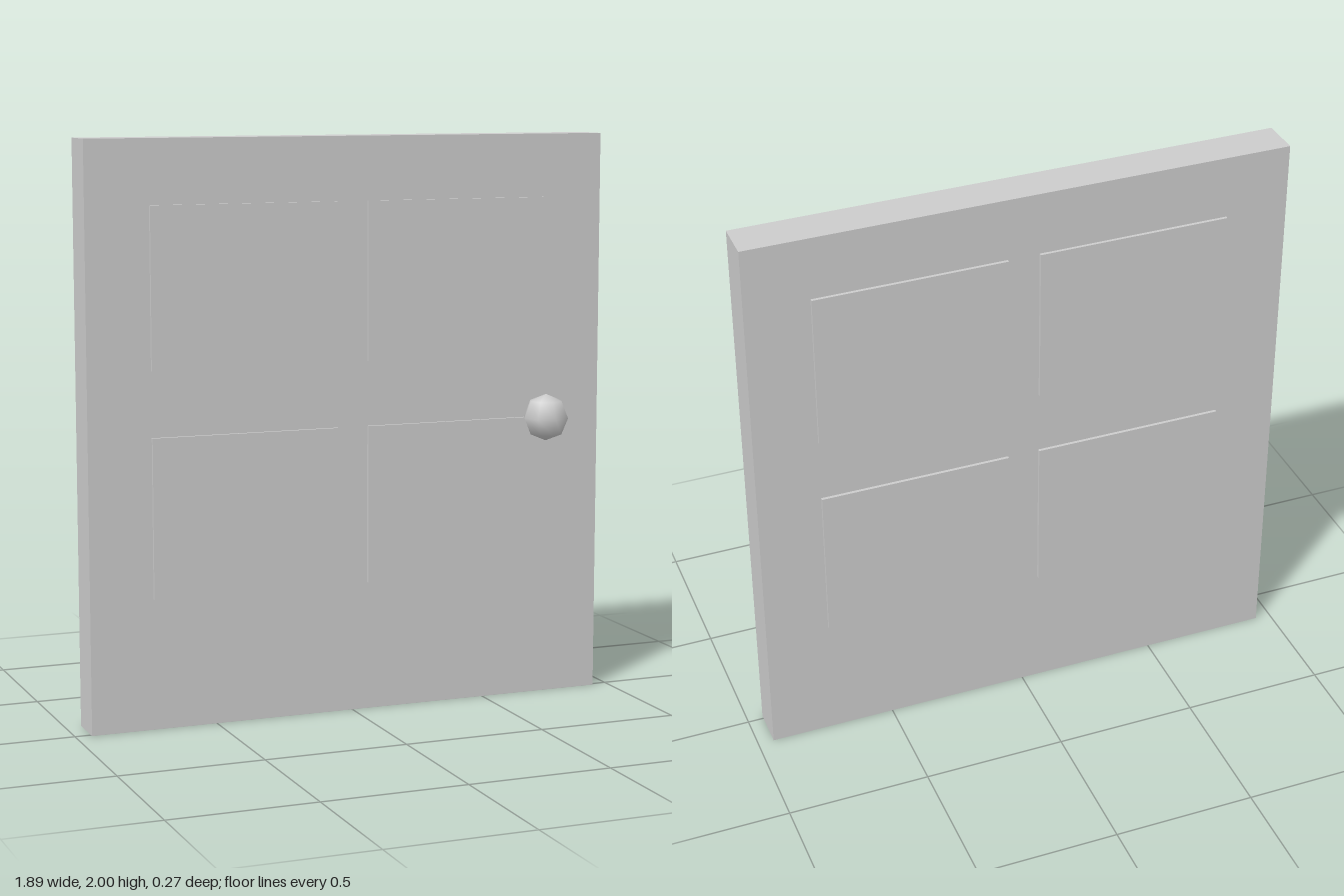
import * as THREE from 'three';

export function createModel() {
  const group = new THREE.Group();
  const grey = new THREE.MeshStandardMaterial({ color: 0xcccccc });
  grey.name = 'light grey';

  const add = (name, geometry, x, y, z) => {
    const mesh = new THREE.Mesh(geometry, grey);
    mesh.name = name;
    mesh.position.set(x, y, z);
    group.add(mesh);
  };

  // Door slab, set back so the knob and panels balance about z = 0
  const doorZ = -0.056;
  add('doorSlab', new THREE.BoxGeometry(1.888, 2, 0.139), 0, 1, doorZ);

  // Four raised panels, each running through the slab to show on both faces
  const panel = new THREE.BoxGeometry(0.667, 0.551, 0.161);
  for (const [row, y] of [['lower', 0.727], ['upper', 1.504]]) {
    for (const [side, x] of [['Right', -0.389], ['Left', 0.389]]) {
      add(`${row}${side}Panel`, panel, x, y, doorZ);
    }
  }

  // Smooth low-poly knob on the front only
  add('doorKnob', new THREE.SphereGeometry(0.083, 8, 4), 0.722, 1.003, 0.053);

  return group;
}
